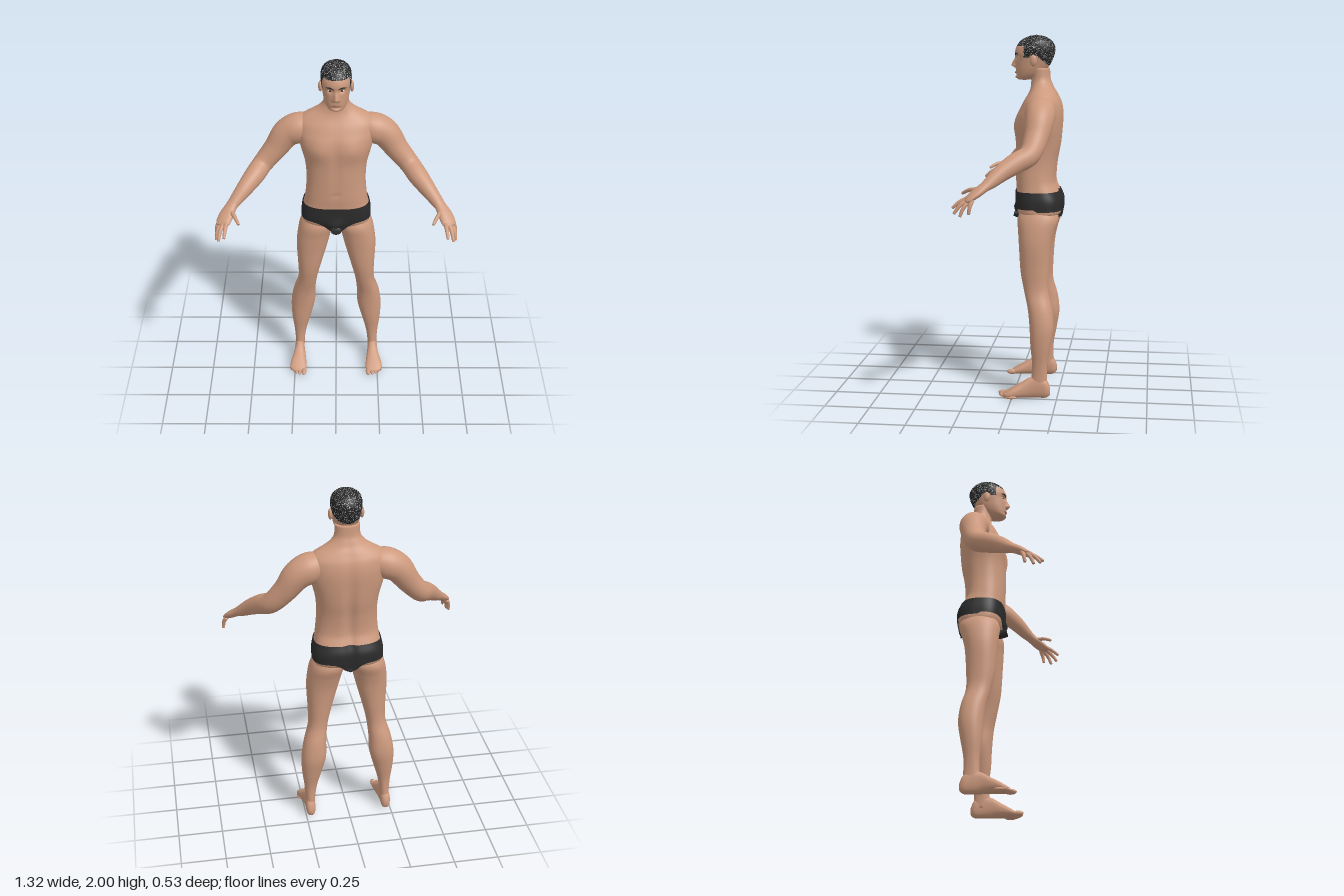
import * as THREE from 'three';

const flat = (name, color, extra = {}) => Object.assign(new THREE.MeshStandardMaterial({ color, ...extra }), { name });
const sgnPow = (v, p) => Math.sign(v) * Math.pow(Math.abs(v), p);
const bump = (d, s) => Math.exp(-(d * d) / (s * s));
const lerp = THREE.MathUtils.lerp;

// Closed-ring surface: fn(angle, v) gives a point; pick() chooses a material per face
function rings(fn, nu, nv, caps = true, pick = null) {
  const pos = [], buckets = [[], [], []];
  for (let j = 0; j <= nv; j++)
    for (let i = 0; i < nu; i++) pos.push(...fn((i / nu) * Math.PI * 2, j / nv));
  const tri = (a, b, c) => {
    const mid = [0, 1, 2].map(k => (pos[a * 3 + k] + pos[b * 3 + k] + pos[c * 3 + k]) / 3);
    buckets[pick ? pick(mid) : 0].push(a, b, c);
  };
  for (let j = 0; j < nv; j++)
    for (let i = 0; i < nu; i++) {
      const a = j * nu + i, b = j * nu + (i + 1) % nu;
      tri(a, b, b + nu);
      tri(a, b + nu, a + nu);
    }
  if (caps) for (const j of [0, nv]) {
    const mid = [0, 0, 0], id = pos.length / 3;
    for (let i = 0; i < nu; i++) for (let k = 0; k < 3; k++) mid[k] += pos[(j * nu + i) * 3 + k] / nu;
    pos.push(...mid);
    for (let i = 0; i < nu; i++) {
      const a = j * nu + i, b = j * nu + (i + 1) % nu;
      j ? tri(a, b, id) : tri(b, a, id);
    }
  }
  const g = new THREE.BufferGeometry();
  g.setAttribute('position', new THREE.Float32BufferAttribute(pos, 3));
  g.setIndex(buckets.flat());
  if (pick) {
    let start = 0;
    buckets.forEach((b, k) => { g.addGroup(start, b.length, k); start += b.length; });
  }
  g.computeVertexNormals();
  return g;
}

// Smooth interpolation of table rows keyed by their first column
function at(rows, t) {
  let i = 0;
  while (i < rows.length - 2 && t > rows[i + 1][0]) i++;
  const a = rows[i], b = rows[i + 1], p = rows[Math.max(i - 1, 0)], q = rows[Math.min(i + 2, rows.length - 1)];
  const h = b[0] - a[0], s = THREE.MathUtils.clamp((t - a[0]) / h, 0, 1), s2 = s * s, s3 = s2 * s;
  return a.map((v, k) => {
    const m0 = (b[k] - p[k]) / (b[0] - p[0]) * h, m1 = (q[k] - v) / (q[0] - a[0]) * h;
    return (2 * s3 - 3 * s2 + 1) * v + (s3 - 2 * s2 + s) * m0 + (3 * s2 - 2 * s3) * b[k] + (s3 - s2) * m1;
  });
}

// Horizontal section from rows [y, xMin, xMax, zFront, zBack, squareness]
function section(rows, y, a, grow = 0) {
  const [, x0, x1, zf, zb, n] = at(rows, y);
  return [(x0 + x1) / 2 + ((x1 - x0) / 2 + grow) * sgnPow(Math.sin(a), 2 / n), y,
    (zf + zb) / 2 + ((zf - zb) / 2 + grow) * sgnPow(Math.cos(a), 2 / n)];
}

// Limb along a path from rows [x, y, z, thickness, width]
function limb(rows, nu = 20, nv = 24) {
  const keyed = rows.map((r, i) => [i, ...r]), last = rows.length - 1, up = new THREE.Vector3(0, 1, 0);
  return rings((a, v) => {
    const t = v * last, [, x, y, z, rn, rb] = at(keyed, t);
    const p = at(keyed, Math.max(t - 0.05, 0)), q = at(keyed, Math.min(t + 0.05, last));
    const dir = new THREE.Vector3(q[1] - p[1], q[2] - p[2], q[3] - p[3]).normalize();
    const side = new THREE.Vector3().crossVectors(dir, up).normalize();
    const n = new THREE.Vector3().crossVectors(side, dir), e = new THREE.Vector3().crossVectors(dir, n);
    return new THREE.Vector3(x, y, z).addScaledVector(n, rn * Math.cos(a)).addScaledVector(e, rb * Math.sin(a)).toArray();
  }, nu, nv);
}

function ball(x, y, z, rx, ry, rz) {
  return new THREE.SphereGeometry(1, 20, 14).scale(rx, ry, rz).translate(x, y, z);
}

function mirrored(g) {
  const m = g.clone().scale(-1, 1, 1), ix = m.index.array;
  for (let i = 0; i < ix.length; i += 3) [ix[i], ix[i + 1]] = [ix[i + 1], ix[i]];
  return m;
}

const TORSO = [
  [1.0, 0.165, -0.05, -0.21, 3], [1.02, 0.188, -0.02, -0.25, 3], [1.06, 0.191, -0.008, -0.259, 3],
  [1.1, 0.189, -0.005, -0.259, 2.9], [1.15, 0.179, -0.004, -0.24, 2.7], [1.2, 0.172, 0, -0.223, 2.5],
  [1.3, 0.165, 0.002, -0.229, 2.4], [1.4, 0.172, 0.002, -0.247, 2.4], [1.5, 0.197, 0.003, -0.256, 2.4],
  [1.56, 0.21, -0.006, -0.259, 2.3], [1.6, 0.216, -0.022, -0.256, 2.2], [1.64, 0.21, -0.042, -0.246, 2.2],
  [1.67, 0.183, -0.06, -0.232, 2.1], [1.69, 0.15, -0.07, -0.222, 2], [1.71, 0.115, -0.077, -0.21, 2],
  [1.735, 0.085, -0.08, -0.2, 2], [1.76, 0.07, -0.08, -0.19, 2], [1.82, 0.066, -0.075, -0.185, 2],
].map(([y, w, ...r]) => [y, -w, w, ...r]);

const LEG = [
  [1.06, 0.02, 0.175, -0.045, -0.22], [1.0, 0.012, 0.205, -0.018, -0.245], [0.93, 0.03, 0.221, -0.022, -0.225],
  [0.85, 0.05, 0.228, -0.028, -0.207], [0.7, 0.09, 0.222, -0.04, -0.195], [0.6, 0.113, 0.223, -0.06, -0.194],
  [0.5, 0.124, 0.252, -0.083, -0.218], [0.4, 0.128, 0.268, -0.094, -0.228], [0.3, 0.153, 0.266, -0.1, -0.213],
  [0.2, 0.18, 0.254, -0.11, -0.195], [0.12, 0.192, 0.248, -0.108, -0.194], [0.05, 0.195, 0.248, -0.1, -0.2],
].map(r => [...r, 2.2]).reverse();

const HEAD = [
  [1.755, 0.028, -0.014, -0.07, 2.2], [1.765, 0.044, 0, -0.1, 2.2], [1.78, 0.056, 0.004, -0.135, 2.2],
  [1.81, 0.067, 0.005, -0.165, 2.2], [1.84, 0.073, 0.005, -0.185, 2.2], [1.87, 0.078, 0.005, -0.2, 2.2],
  [1.9, 0.082, 0.01, -0.21, 2.2], [1.93, 0.083, 0.004, -0.213, 2.1], [1.96, 0.076, -0.014, -0.2, 2],
  [1.98, 0.06, -0.038, -0.178, 2], [1.993, 0.036, -0.068, -0.148, 2], [2.0, 0.003, -0.105, -0.111, 2],
].map(([y, w, ...r]) => [y, -w, w, ...r]);

const FOOT = [
  [-0.212, 0.21, 0.238, 0.02, 0.06], [-0.195, 0.197, 0.249, 0.004, 0.1], [-0.15, 0.195, 0.25, 0, 0.125],
  [-0.1, 0.192, 0.252, 0, 0.115], [-0.05, 0.185, 0.265, 0, 0.085], [0, 0.18, 0.278, 0, 0.055],
  [0.03, 0.181, 0.275, 0, 0.036], [0.05, 0.188, 0.255, 0.005, 0.024],
];

const ARM = [
  [0.1, 1.61, -0.15, 0.055, 0.055], [0.195, 1.588, -0.15, 0.085, 0.083], [0.27, 1.55, -0.152, 0.08, 0.078],
  [0.335, 1.463, -0.14, 0.066, 0.066], [0.405, 1.382, -0.112, 0.057, 0.056], [0.45, 1.343, -0.045, 0.055, 0.055],
  [0.5, 1.3, 0.02, 0.046, 0.046], [0.545, 1.258, 0.07, 0.035, 0.037], [0.57, 1.235, 0.1, 0.026, 0.034],
  [0.595, 1.205, 0.14, 0.023, 0.042], [0.614, 1.176, 0.178, 0.017, 0.041], [0.622, 1.165, 0.195, 0.009, 0.03],
];

export function createModel() {
  const model = new THREE.Group();
  model.name = 'standingMan';
  const skin = flat('skin', 0xcd9a7e), cloth = flat('briefs', 0x2b2b2c, { side: THREE.DoubleSide });
  const hair = flat('hair', 0x262627), fleck = flat('hairFleck', 0xb4b4b4);
  const lip = flat('lips', 0xa56d5c), white = flat('eyeWhite', 0xd8d0c8), iris = flat('iris', 0x33261f);
  const add = (name, geo, mat) => {
    const m = new THREE.Mesh(geo, mat);
    m.name = name;
    model.add(m);
  };
  const pair = (name, geo, mat) => { add('left' + name, geo, mat); add('right' + name, mirrored(geo), mat); };

  // Torso and neck, with chest relief and a spine groove
  const relief = p => {
    const [x, y, z] = p, ax = Math.abs(x);
    if (z > -0.09) p[2] += 0.011 * bump(ax - 0.09, 0.06) * bump(y - 1.51, 0.06)
      - 0.006 * bump(x, 0.018) * bump(y - 1.42, 0.17) - 0.006 * bump(x, 0.01) * bump(y - 1.235, 0.01);
    else if (z < -0.16) p[2] += 0.02 * bump(x, 0.026) * bump(y - 1.28, 0.33);
    return p;
  };
  add('torso', rings((a, v) => relief(section(TORSO, lerp(1.0, 1.82, v), a)), 72, 82), skin);

  // Briefs with curved leg openings and a strip between the legs
  add('briefs', rings((a, v) => {
    const [x, , z] = section(TORSO, 1.05, a);
    const low = z > -0.13 ? 1.053 - 0.068 * bump(x, 0.07) : 1.042 - 0.057 * bump(x, 0.05);
    const y = lerp(low, 1.147, v), p = relief(section(TORSO, Math.max(y, 1.025), a, 0.006));
    p[1] = y;
    if (z > -0.13) p[2] += 0.022 * bump(x, 0.04) * bump(y - 1.035, 0.035);
    return p;
  }, 96, 14, false), cloth);
  add('briefsGusset', limb([[0, 1.01, 0.012, 0.022, 0.03], [0, 0.999, -0.03, 0.022, 0.03],
    [0, 0.99, -0.13, 0.018, 0.03], [0, 1.0, -0.21, 0.022, 0.03], [0, 1.015, -0.245, 0.02, 0.03]]), cloth);

  // Legs, feet and toes
  pair('Leg', rings((a, v) => section(LEG, lerp(0.05, 1.06, v), a), 36, 60), skin);
  pair('Foot', rings((a, v) => {
    const z = lerp(-0.212, 0.05, v), [, x0, x1, y0, y1] = at(FOOT, z);
    return [(x0 + x1) / 2 + (x1 - x0) / 2 * sgnPow(Math.cos(a), 0.85), (y0 + y1) / 2 + (y1 - y0) / 2 * sgnPow(Math.sin(a), 0.85), z];
  }, 28, 26), skin);
  [[0.195, 0.082, 0.015], [0.22, 0.077, 0.011], [0.239, 0.066, 0.0105], [0.256, 0.052, 0.01], [0.27, 0.036, 0.0095]]
    .forEach(([x, tip, r], i) => pair('Toe' + (i + 1), ball(x, r, tip - 0.032, r, r, 0.032), skin));

  // Arms with palms, fingers and thumbs
  pair('Arm', limb(ARM, 32, 66), skin);
  const fingers = {
    IndexFinger: [[0.594, 1.18, 0.185], [0.6, 1.16, 0.225], [0.605, 1.13, 0.262]],
    MiddleFinger: [[0.611, 1.174, 0.183], [0.628, 1.145, 0.22], [0.637, 1.105, 0.25]],
    RingFinger: [[0.626, 1.17, 0.172], [0.644, 1.135, 0.2], [0.652, 1.093, 0.217]],
    LittleFinger: [[0.635, 1.173, 0.157], [0.65, 1.14, 0.167], [0.653, 1.105, 0.172]],
    Thumb: [[0.575, 1.222, 0.125], [0.55, 1.216, 0.18], [0.527, 1.195, 0.222]],
  };
  for (const [name, [a, b, c]] of Object.entries(fingers)) {
    const end = c.map((v, k) => v + (c[k] - b[k]) * 0.06);
    pair(name, limb([[...a, 0.012, 0.013], [...b, 0.0105, 0.011], [...c, 0.008, 0.008], [...end, 0.003, 0.003]], 12, 15), skin);
  }

  // Head with brow, eye sockets, nose and chin; cropped hair has pale flecks
  let seed = 7;
  const rand = () => (seed = (seed * 16807) % 2147483647) / 2147483647;
  const hairline = z => z > -0.045 ? 1.938 : z > -0.08 ? 1.877 : z > -0.12 ? 1.89 : lerp(1.885, 1.825, Math.min((-0.12 - z) / 0.07, 1));
  add('head', rings((a, v) => {
    const p = section(HEAD, 1.755 + 0.245 * (1 - Math.cos(Math.PI * v)) / 2, a), [x, y, z] = p, ax = Math.abs(x);
    if (z > -0.06) {
      const ridge = THREE.MathUtils.smoothstep(y, 1.818, 1.834) * (1 - THREE.MathUtils.smoothstep(y, 1.832, 1.895));
      p[2] += 0.025 * ridge * bump(x, 0.012) + 0.008 * bump(ax - 0.013, 0.008) * bump(y - 1.829, 0.009)
        - 0.012 * bump(ax - 0.031, 0.017) * bump(y - 1.879, 0.012) + 0.005 * bump(x, 0.025) * bump(y - 1.768, 0.01)
        - 0.004 * bump(x, 0.03) * bump(y - 1.782, 0.007);
    }
    return p;
  }, 120, 90, true, ([, y, z]) => y < hairline(z) ? 0 : rand() < 0.17 ? 2 : 1), [skin, hair, fleck]);
  pair('Ear', ball(0.084, 1.862, -0.1, 0.012, 0.031, 0.019), skin);
  pair('Eye', ball(0.031, 1.878, -0.016, 0.014, 0.007, 0.009), white);
  pair('Iris', ball(0.031, 1.878, -0.01, 0.006, 0.006, 0.0045), iris);
  pair('Eyebrow', limb([[0.013, 1.892, 0.006, 0.003, 0.003], [0.032, 1.9, 0.001, 0.005, 0.004], [0.054, 1.895, -0.014, 0.002, 0.003]], 10, 12), hair);
  add('lips', limb([[-0.024, 1.794, -0.002, 0.002, 0.003], [0, 1.796, 0.005, 0.006, 0.006], [0.024, 1.794, -0.002, 0.002, 0.003]], 12, 16), lip);
  return model;
}
